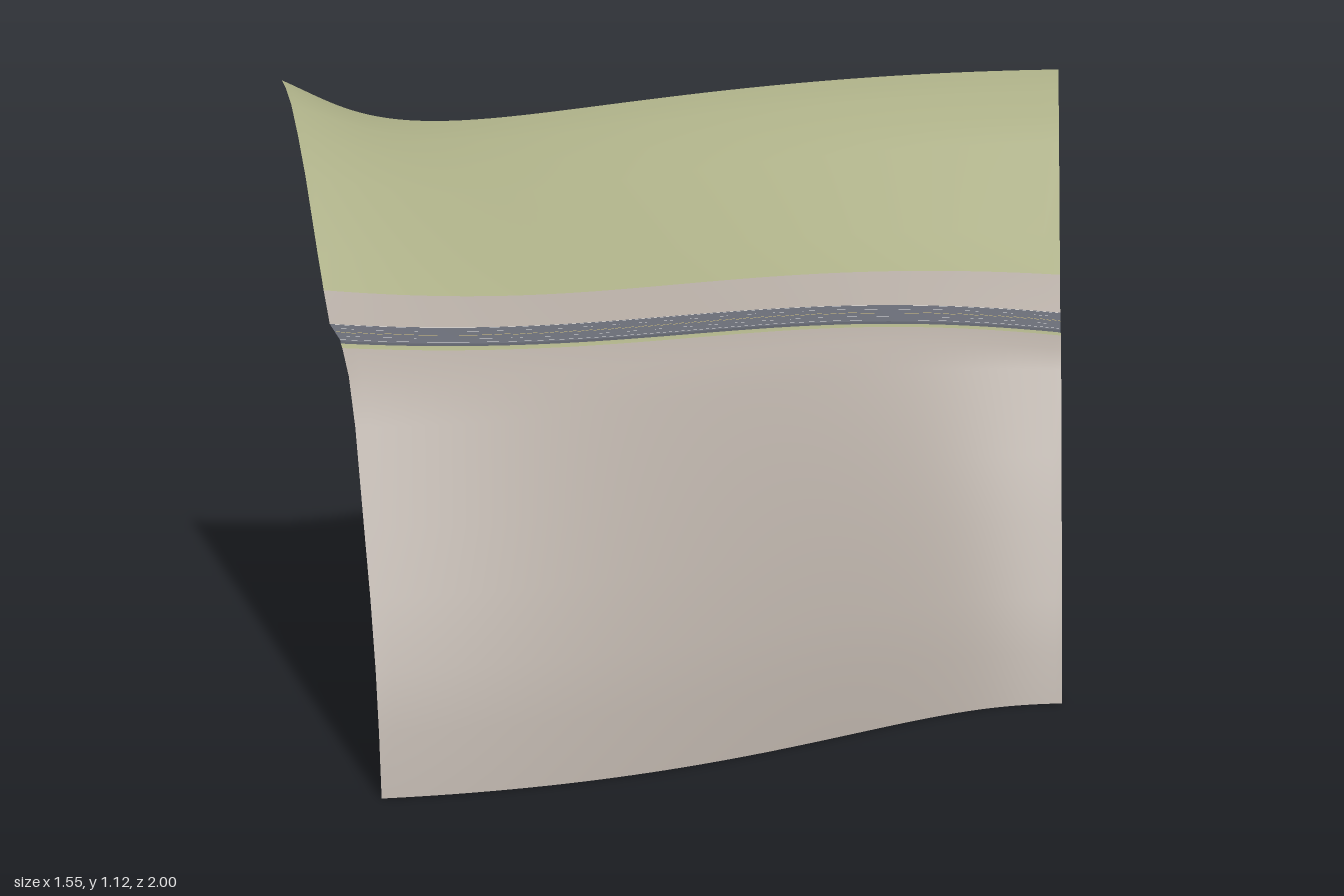
import * as THREE from 'three';

const material = (name, color) =>
  new THREE.MeshStandardMaterial({ name, color, side: THREE.DoubleSide });

// Plan of the road centre line (x, z), an S bend
const centre = new THREE.CubicBezierCurve(
  new THREE.Vector2(-0.58, 0.475), new THREE.Vector2(0.01, 0.283),
  new THREE.Vector2(0.082, -0.282), new THREE.Vector2(0.694, -0.38));
const STEPS = 64;
const roadY = (t) => 0.78 - 0.15 * t;

// Point at t along the road, d sideways (towards the front), at height y
function place(t, d, y) {
  const p = centre.getPointAt(t), n = centre.getTangentAt(t);
  return [p.x - n.y * d, y, p.y + n.x * d];
}

// Sheet lofted from cross-sections; columns(t) returns [d, y] pairs.
// bands gives the material index of each lengthwise strip.
function loft(name, columns, materials, bands = [0], t0 = 0, t1 = 1, steps = STEPS) {
  const positions = [], index = [], geometry = new THREE.BufferGeometry();
  const count = bands.length + 1;
  for (let i = 0; i <= steps; i++) {
    const t = t0 + (t1 - t0) * i / steps;
    columns(t).forEach(([d, y]) => positions.push(...place(t, d, y)));
  }
  bands.forEach((band, j) => {
    geometry.addGroup(index.length, steps * 6, band);
    for (let i = 0; i < steps; i++) {
      const a = i * count + j, b = a + count;
      index.push(a, a + 1, b, b, a + 1, b + 1);
    }
  });
  geometry.setAttribute('position', new THREE.Float32BufferAttribute(positions, 3));
  geometry.setIndex(index);
  geometry.computeVertexNormals();
  const mesh = new THREE.Mesh(geometry, materials);
  mesh.name = name;
  return mesh;
}

// Cross-sections: [d, y] at the left end, then [d, y] at the right end
const backProfile = [
  [-0.632, 1.115, -0.628, 0.963], [-0.585, 1.112, -0.585, 0.956], [-0.52, 1.096, -0.533, 0.944],
  [-0.44, 1.055, -0.46, 0.915], [-0.352, 0.998, -0.395, 0.88], [-0.212, 0.885, -0.229, 0.745],
  [-0.137, 0.828, -0.137, 0.686], [-0.065, 0.78, -0.065, 0.63]];
const frontProfile = [
  [0.065, 0.775, 0.065, 0.625], [0.084, 0.771, 0.084, 0.624], [0.16, 0.735, 0.15, 0.615],
  [0.237, 0.654, 0.2, 0.585], [0.342, 0.48, 0.294, 0.44], [0.415, 0.362, 0.35, 0.325],
  [0.478, 0.235, 0.415, 0.19], [0.518, 0.12, 0.453, 0.092], [0.549, 0, 0.48, 0]];

const blend = (profile, t) => profile.map(([d0, y0, d1, y1]) =>
  [d0 + (d1 - d0) * t, y0 + (y1 - y0) * t]);

export function createModel() {
  const group = new THREE.Group();
  const grass = material('grass', 0xabae86);
  const rock = material('rock', 0xb1a8a0);
  const asphalt = material('asphalt', 0x6a6d77);
  const white = material('whitePaint', 0xdadada);
  const yellow = material('yellowPaint', 0xc9b878);

  // Upper hillside, sagging a little between its ends
  const upper = (t) => {
    const sag = 1 - 0.18 * Math.sin(Math.PI * t);
    return blend(backProfile, t).map(([d, y]) => [d, roadY(t) + (y - roadY(t)) * sag]);
  };
  group.add(loft('upperHillside', upper, [grass, rock], [0, 0, 0, 0, 0, 0, 1]));

  // Lower hillside with a narrow grass verge
  group.add(loft('lowerHillside', (t) => blend(frontProfile, t), [grass, rock],
    [0, 1, 1, 1, 1, 1, 1, 1]));

  // Road and its small step down to the verge
  group.add(loft('road', (t) => [[-0.065, roadY(t)], [0.065, roadY(t)]], [asphalt]));
  group.add(loft('roadEdge', (t) => [[0.065, roadY(t)], [0.065, roadY(t) - 0.005]], [asphalt]));

  // Painted lines
  const line = (name, d, width, paint, t0, t1, steps) => group.add(loft(name,
    (t) => [[d - width / 2, roadY(t) + 0.001], [d + width / 2, roadY(t) + 0.001]],
    [paint], [0], t0, t1, steps));
  for (const side of [-1, 1]) {
    line('edgeLine', side * 0.058, 0.002, white);
    line('centreLine', side * 0.003, 0.0015, yellow);
    for (let k = 0; k < 24; k++) {
      line('laneDash', side * 0.029, 0.002, white, (k + 0.25) / 24, (k + 0.65) / 24, 3);
    }
  }
  return group;
}
